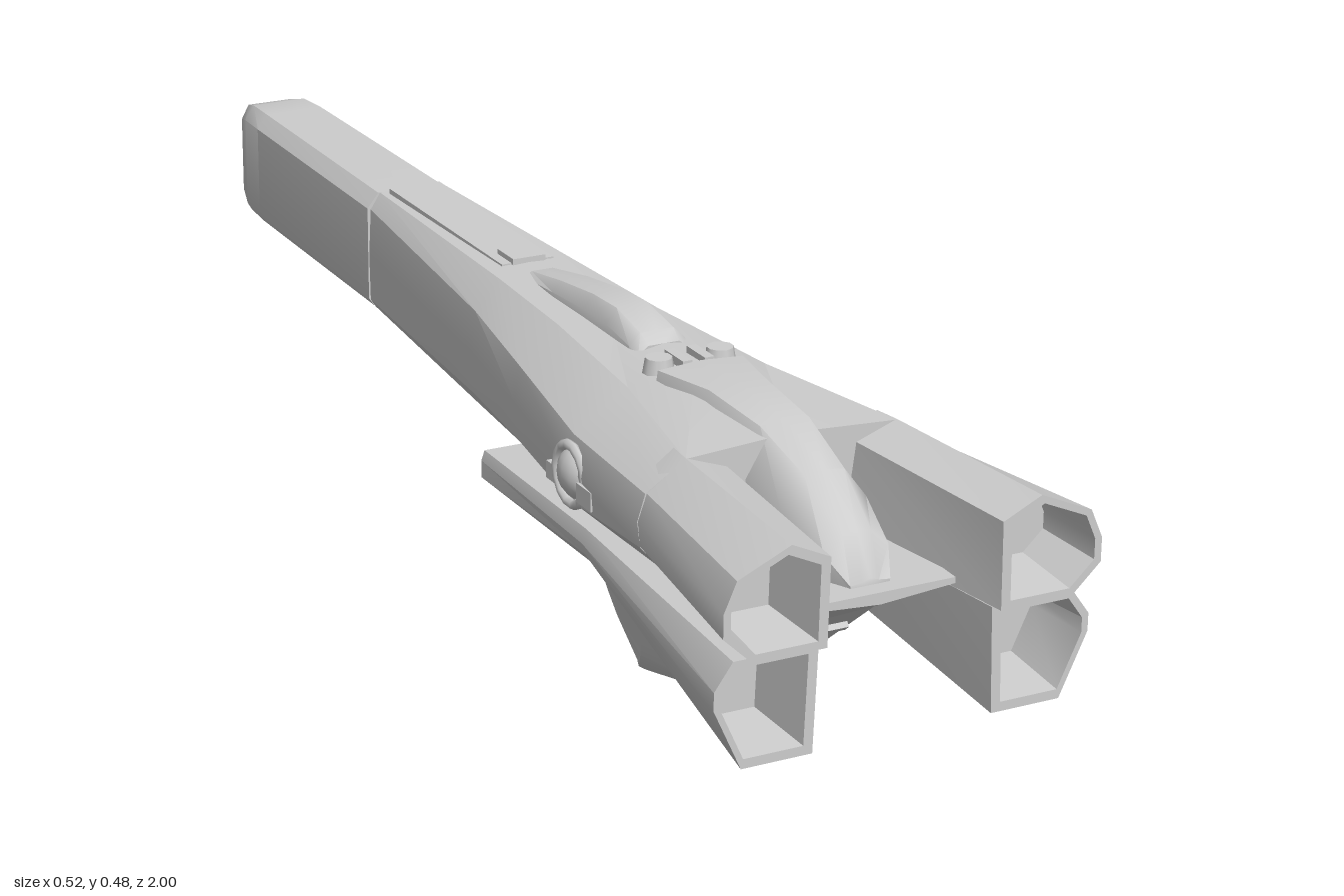
import * as THREE from 'three';
import { toCreasedNormals } from 'three/addons/utils/BufferGeometryUtils.js';

const hull = new THREE.MeshStandardMaterial({ color: 0xcdcdcd });
hull.name = 'hull grey';

// Skin a list of [z, outline] sections; outlines run counterclockwise seen from +z
function loft(sections, crease = 0.45) {
  const pos = [];
  const put = (s, j) => {
    const [z, pts] = s;
    const p = pts[j % pts.length];
    pos.push(p[0], p[1], z);
  };
  for (let i = 0; i < sections.length - 1; i++) {
    const a = sections[i], b = sections[i + 1];
    for (let j = 0; j < a[1].length; j++) {
      put(a, j); put(a, j + 1); put(b, j + 1);
      put(a, j); put(b, j + 1); put(b, j);
    }
  }
  [[sections[0], true], [sections[sections.length - 1], false]].forEach(([s, flip]) => {
    const tris = THREE.ShapeUtils.triangulateShape(s[1].map(p => new THREE.Vector2(p[0], p[1])), []);
    tris.forEach(t => (flip ? [t[0], t[2], t[1]] : t).forEach(j => put(s, j)));
  });
  const g = new THREE.BufferGeometry();
  g.setAttribute('position', new THREE.Float32BufferAttribute(pos, 3));
  return toCreasedNormals(g, crease);
}

// Complete a half outline given from bottom centre to top centre
const full = half => [...half, ...half.slice(1, -1).reverse().map(([x, y]) => [-x, y])];
// Mirror a whole loft for the other side
const flipX = secs => secs.map(([z, pts]) => [z, pts.map(([x, y]) => [-x, y]).reverse()]);
// Shrink an outline about its middle
function inset(pts, k) {
  const cx = pts.reduce((s, p) => s + p[0], 0) / pts.length;
  const cy = pts.reduce((s, p) => s + p[1], 0) / pts.length;
  return pts.map(([x, y]) => [cx + (x - cx) * k, cy + (y - cy) * k]);
}

export function createModel() {
  const model = new THREE.Group();
  model.name = 'spacecraft';
  const add = (name, geo, x = 0, y = 0, z = 0) => {
    const m = new THREE.Mesh(geo, hull);
    m.name = name;
    m.position.set(x, y, z);
    model.add(m);
    return m;
  };
  const box = (name, w, h, d, x, y, z) => add(name, new THREE.BoxGeometry(w, h, d), x, y, z);
  const pair = (name, secs) => {
    add(name + 'Left', loft(secs));
    add(name + 'Right', loft(flipX(secs)));
  };

  // Long boxy nose, with a shallow seam where it joins the body
  const noseSec = (w, yb, yt) => full([[0, yb], [w * 0.88, yb], [w, yb + 0.012], [w, yt - 0.022], [w * 0.74, yt], [0, yt]]);
  add('nose', loft([
    [-1, noseSec(0.036, 0.292, 0.412)],
    [-0.985, noseSec(0.046, 0.275, 0.425)],
    [-0.94, noseSec(0.058, 0.266, 0.437)],
    [-0.88, noseSec(0.062, 0.265, 0.439)],
    [-0.443, noseSec(0.068, 0.265, 0.439)],
    [-0.443, noseSec(0.063, 0.27, 0.434)],
    [-0.43, noseSec(0.063, 0.27, 0.434)],
  ], 0.6));

  // Main body, widening toward the engines
  const bodySec = (b, yb, w, yl, yh, t, ys, yt) =>
    full([[0, yb], [b, yb], [w * 0.98, yl], [w, (yl + yh) / 2], [w * 0.95, yh], [t, ys], [0, yt]]);
  add('body', loft([
    [-0.437, bodySec(0.06, 0.265, 0.069, 0.277, 0.417, 0.05, 0.441, 0.442)],
    [0, bodySec(0.095, 0.265, 0.108, 0.285, 0.405, 0.065, 0.446, 0.449)],
    [0.2, bodySec(0.115, 0.27, 0.14, 0.295, 0.398, 0.075, 0.446, 0.455)],
    [0.45, bodySec(0.14, 0.285, 0.186, 0.305, 0.395, 0.1, 0.446, 0.463)],
    [0.7, bodySec(0.18, 0.305, 0.216, 0.34, 0.41, 0.15, 0.446, 0.455)],
  ]));
  box('spinePlate', 0.08, 0.008, 0.38, 0, 0.445, -0.235);
  box('hatch', 0.05, 0.012, 0.05, 0, 0.45, -0.065);

  // Upper engines with hollow nozzles
  const up = [[0.12, 0.31], [0.22, 0.31], [0.26, 0.348], [0.26, 0.38], [0.243, 0.419], [0.171, 0.451], [0.118, 0.426]];
  pair('upperEngine', [
    [0.66, [[0.075, 0.31], [0.175, 0.308], [0.206, 0.34], [0.209, 0.373], [0.197, 0.408], [0.145, 0.446], [0.09, 0.425]]],
    [0.7, [[0.077, 0.31], [0.18, 0.308], [0.212, 0.342], [0.215, 0.375], [0.203, 0.41], [0.15, 0.447], [0.092, 0.426]]],
    [1, up], [1, inset(up, 0.84)], [0.9, inset(up, 0.7)],
  ]);

  // Lower engines, running forward to an open intake
  const low = [[0.125, 0.165], [0.222, 0.165], [0.26, 0.248], [0.26, 0.272], [0.235, 0.307], [0.12, 0.307]];
  const intake = [[0.09, 0.228], [0.165, 0.228], [0.18, 0.238], [0.18, 0.262], [0.175, 0.276], [0.09, 0.276]];
  pair('lowerEngine', [
    [0.28, inset(intake, 0.7)], [0.18, inset(intake, 0.84)], [0.18, intake],
    [0.5, [[0.095, 0.226], [0.165, 0.226], [0.186, 0.25], [0.19, 0.265], [0.185, 0.285], [0.09, 0.285]]],
    [0.98, low], [0.98, inset(low, 0.84)], [0.88, inset(low, 0.7)],
  ]);

  // Wedge under the body, ending in a flat deck between the engines
  const wedge = (w, yb, yt) => full([[0, yb - 0.004], [w, yb + 0.004], [w, yt], [0, yt]]);
  add('rearDeck', loft([
    [0.1, wedge(0.07, 0.25, 0.28)],
    [0.25, wedge(0.1, 0.215, 0.29)],
    [0.72, wedge(0.112, 0.204, 0.325)],
    [0.92, wedge(0.105, 0.314, 0.326)],
  ]));
  box('bellyPlate', 0.15, 0.008, 0.4, 0, 0.227, 0.29);

  // Dorsal fairing falling away to the deck
  const fair = (w, t, yt) => full([[0, 0.32], [w * 0.95, 0.32], [w, 0.32 + (yt - 0.32) * 0.6], [t, yt - 0.004], [0, yt]]);
  add('dorsalFairing', loft([
    [0.46, fair(0.07, 0.062, 0.47)],
    [0.56, fair(0.067, 0.042, 0.474)],
    [0.68, fair(0.067, 0.035, 0.466)],
    [0.78, fair(0.06, 0.028, 0.435)],
    [0.86, fair(0.045, 0.02, 0.385)],
    [0.895, fair(0.028, 0.012, 0.335)],
  ], 0.8));

  // Canopy blister on the spine
  const blister = (w, y) => full([[0, 0.43], [w, 0.43], [w, 0.432 + (y - 0.432) * 0.6], [w * 0.6, y], [0, y]]);
  add('canopy', loft([
    [0, blister(0.027, 0.45)],
    [0.1, blister(0.034, 0.468)],
    [0.2, blister(0.037, 0.481)],
    [0.27, blister(0.039, 0.484)],
    [0.34, blister(0.041, 0.472)],
    [0.36, blister(0.038, 0.46)],
  ], 0.8));

  // Belly pod, stacked upward: each level has a rear, middle and front width
  const level = (y, zr, zm, zf, wr, wm, wf) =>
    [y, full([[0, -zr], [wr, -zr], [wm, -zm], [wf, -zf], [0, -zf]])];
  const upright = secs => loft(secs).rotateX(-Math.PI / 2);
  add('bellyPod', upright([
    level(0, 0.37, 0.355, 0.335, 0.026, 0.03, 0.022),
    level(0.05, 0.52, 0.42, 0.29, 0.05, 0.062, 0.03),
    level(0.08, 0.595, 0.44, 0.27, 0.062, 0.072, 0.034),
    level(0.215, 0.735, 0.45, 0.175, 0.108, 0.112, 0.045),
  ]));

  // Small paired fittings
  for (const s of [-1, 1]) {
    add('spineSensor', new THREE.CylinderGeometry(0.018, 0.022, 0.024, 10), s * 0.045, 0.46, 0.43);
    box('sensorArm', 0.014, 0.016, 0.05, s * 0.016, 0.462, 0.43);
    const turret = add('sideTurret', new THREE.SphereGeometry(0.035, 14, 10), s * 0.174, 0.345, 0.46);
    turret.scale.set(0.75, 1, 1.15);
    const collar = add('turretCollar', new THREE.TorusGeometry(0.04, 0.007, 6, 14), s * 0.186, 0.345, 0.46);
    collar.rotation.y = Math.PI / 2;
    box('turretMount', 0.03, 0.026, 0.04, s * 0.181, 0.335, 0.515);
    box('turretBracket', 0.03, 0.024, 0.03, s * 0.174, 0.33, 0.41);
    box('podLatch', 0.02, 0.024, 0.016, s * 0.06, 0.175, 0.28);

    // Narrow strip on the pod's sloping rear face, capped by an upturned lip
    const strip = (y, xa, xb, z) => {
      const [l, r] = s > 0 ? [xa, xb] : [-xb, -xa];
      return [y, [[l, -z - 0.005], [r, -z - 0.005], [r, -z + 0.003], [l, -z + 0.003]]];
    };
    add('podStrip', upright([strip(0.085, 0.028, 0.046, 0.6), strip(0.18, 0.05, 0.083, 0.699)]));
    const lip = box('stripLip', 0.033, 0.012, 0.012, s * 0.068, 0.179, 0.7);
    lip.rotation.x = -0.7;
  }
  return model;
}
